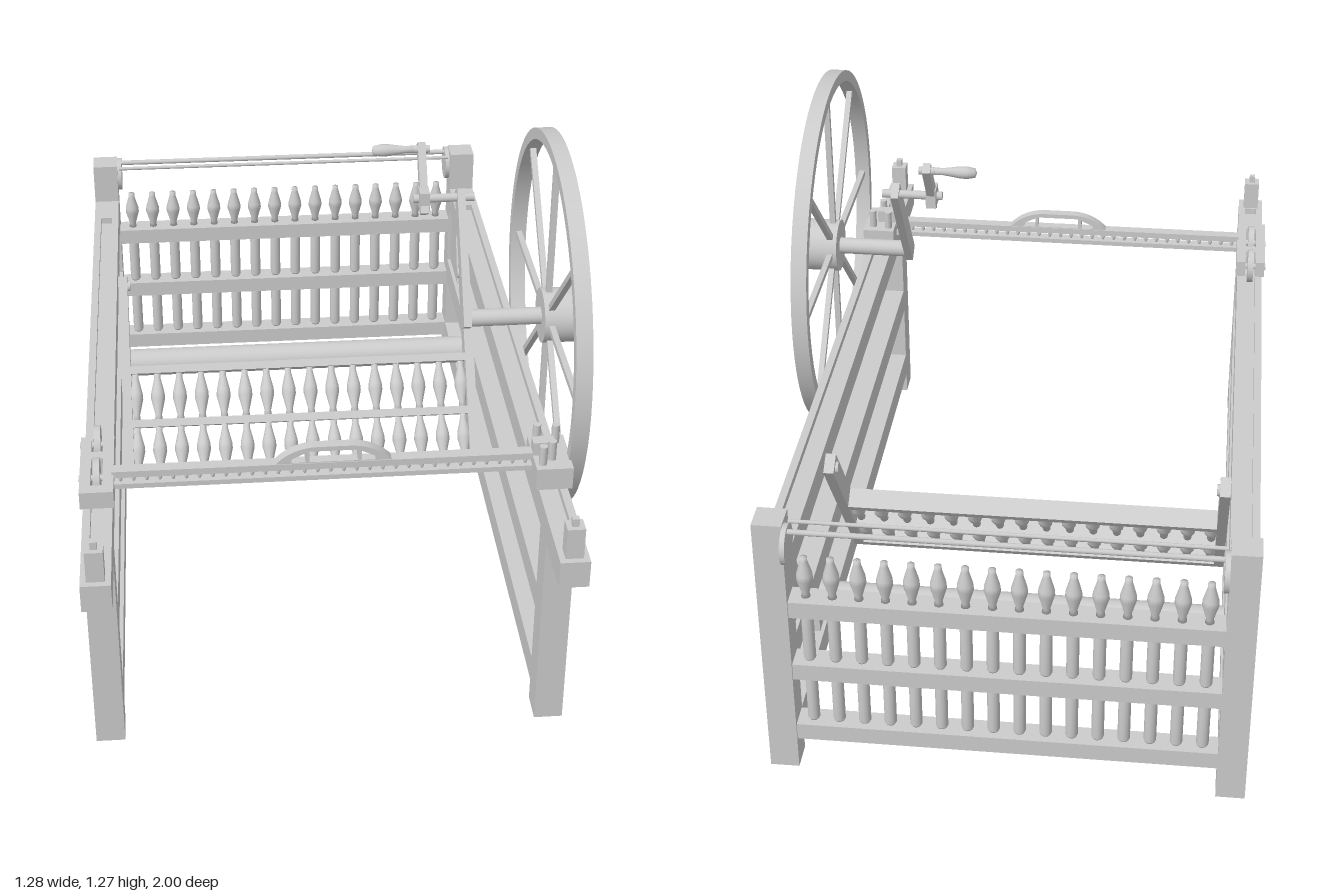
import * as THREE from 'three';

const mat = new THREE.MeshStandardMaterial({ color: 0xcccccc });
const thin = new THREE.MeshStandardMaterial({ color: 0xcccccc, side: THREE.DoubleSide });
const LEFT = 0.48, RIGHT = -0.6, MID = -0.06;

function add(parent, name, geo, x = 0, y = 0, z = 0, material = mat) {
  const m = new THREE.Mesh(geo, material);
  m.name = name;
  m.position.set(x, y, z);
  parent.add(m);
  return m;
}
// box given by its extents on each axis
function box(parent, name, x0, x1, y0, y1, z0, z1) {
  return add(parent, name, new THREE.BoxGeometry(x1 - x0, y1 - y0, z1 - z0),
    (x0 + x1) / 2, (y0 + y1) / 2, (z0 + z1) / 2);
}
// cylinder lying along x
function rod(parent, name, x0, x1, y, z, r, sides = 16) {
  const g = new THREE.CylinderGeometry(r, r, x1 - x0, sides).rotateZ(Math.PI / 2);
  return add(parent, name, g, (x0 + x1) / 2, y, z);
}
function lathe(points, sides = 12) {
  return new THREE.LatheGeometry(points.map(p => new THREE.Vector2(p[0], p[1])), sides);
}
// square bar between two points of a plane at constant x
function bar(parent, name, x, w, d, y0, z0, y1, z1) {
  const m = add(parent, name, new THREE.BoxGeometry(w, Math.hypot(y1 - y0, z1 - z0), d),
    x, (y0 + y1) / 2, (z0 + z1) / 2);
  m.rotation.x = Math.atan2(z1 - z0, y1 - y0);
  return m;
}
function rectPath(x0, x1, y0, y1, Type = THREE.Path) {
  return new Type([[x0, y0], [x1, y0], [x1, y1], [x0, y1]].map(p => new THREE.Vector2(...p)));
}
// row of turned bobbins standing on height y, each h tall
function bobbinRow(parent, name, y, z, h, profile) {
  const geo = lathe(profile.map(([r, t]) => [r, t * h]));
  const row = new THREE.Group();
  row.name = name;
  for (let i = 0; i < 16; i++) add(row, 'bobbin', geo, -0.527 + i * 0.0623, y, z, thin);
  parent.add(row);
}
const SPINDLE = [[0.001, 0], [0.011, 0], [0.009, 0.1], [0.02, 0.45], [0.019, 0.58], [0.009, 0.9], [0.009, 1], [0.001, 1]];
const BOBBIN = [[0.001, 0], [0.012, 0], [0.015, 0.04], [0.015, 0.92], [0.01, 1], [0.001, 1]];

function sideFrame(x) {
  const g = new THREE.Group();
  g.name = 'sideFrame';
  const a = x - 0.035, b = x + 0.035;
  box(g, 'frontLeg', a, b, 0, 0.535, 0.755, 0.83);
  box(g, 'rearPost', a, b, 0, 0.72, -0.96, -0.89);
  box(g, 'topRail', a, b, 0.535, 0.587, -0.89, 1);
  box(g, 'middleRail', a, b, 0.29, 0.36, -0.89, 0.755);
  box(g, 'bottomRail', a, b, 0.06, 0.13, -0.89, 0.755);
  // grooved running track along the rail top
  const track = rectPath(-0.035, 0.035, -1, 0.89, THREE.Shape);
  track.holes.push(rectPath(-0.016, 0.016, -0.94, 0.78));
  const tg = new THREE.ExtrudeGeometry(track, { depth: 0.018, bevelEnabled: false }).rotateX(-Math.PI / 2);
  add(g, 'track', tg, x, 0.587, 0);
  // stop peg at the front end
  box(g, 'stopPeg', x - 0.021, x + 0.021, 0.605, 0.685, 0.945, 0.985);
  box(g, 'stopPegTip', x - 0.008, x + 0.008, 0.685, 0.705, 0.957, 0.973);
  // wedge bracing the rear post
  const wedge = new THREE.Shape([[0.73, 0.36], [0.89, 0.36], [0.89, 0.535], [0.815, 0.535]].map(p => new THREE.Vector2(...p)));
  add(g, 'rearBrace', new THREE.ExtrudeGeometry(wedge, { depth: 0.05, bevelEnabled: false }).rotateY(Math.PI / 2), x - 0.025, 0, 0);
  // bearing board of the roller
  box(g, 'rollerBearing', x - 0.025, x + 0.025, 0.13, 0.29, -0.605, -0.535);
  rod(g, 'rollerCap', x - 0.03, x + 0.03, 0.222, -0.57, 0.04, 24);
  rod(g, 'rollerPin', x - 0.035, x + 0.035, 0.222, -0.57, 0.008);
  // cord disc on the inner face of the rear post
  const s = Math.sign(MID - x), inner = x + s * 0.035;
  rod(g, 'cordDisc', Math.min(inner, inner + s * 0.012), Math.max(inner, inner + s * 0.012), 0.667, -0.951, 0.048, 28);
  return g;
}

function rearPanel() {
  const g = new THREE.Group();
  g.name = 'rearPanel';
  for (const y of [0.085, 0.27, 0.455]) box(g, 'panelRail', -0.565, 0.445, y, y + 0.045, -0.955, -0.895);
  bobbinRow(g, 'topSpindles', 0.5, -0.925, 0.112, SPINDLE);
  bobbinRow(g, 'middleBobbins', 0.315, -0.925, 0.14, BOBBIN);
  bobbinRow(g, 'bottomBobbins', 0.13, -0.925, 0.14, BOBBIN);
  rod(g, 'cordRod', -0.56, 0.44, 0.702, -0.953, 0.007, 10);
  rod(g, 'cordRod', -0.56, 0.44, 0.702, -0.912, 0.005, 10);
  return g;
}

// sloping bobbin rack between the sides
function creel() {
  const g = new THREE.Group();
  g.name = 'creel';
  g.position.set(0, 0.095, -0.143);
  g.rotation.x = -0.623;
  for (const x of [-0.552, 0.432]) {
    box(g, 'creelArm', x - 0.013, x + 0.013, 0, 0.58, -0.026, 0.026);
    rod(g, 'creelPivot', x - 0.02, x + 0.02, 0.555, 0, 0.015);
  }
  for (const y of [0, 0.147, 0.3]) box(g, 'creelRail', -0.54, 0.42, y, y + 0.022, -0.026, 0.026);
  bobbinRow(g, 'lowerBobbins', 0.022, 0, 0.125, SPINDLE);
  bobbinRow(g, 'upperBobbins', 0.169, 0, 0.131, SPINDLE);
  return g;
}

function carriage() {
  const g = new THREE.Group();
  g.name = 'carriage';
  box(g, 'lowerClamp', -0.565, 0.445, 0.624, 0.637, 0.625, 0.655);
  box(g, 'upperClamp', -0.565, 0.445, 0.655, 0.672, 0.625, 0.655);
  const pin = lathe([[0.003, 0], [0.006, 0.009], [0.003, 0.018]], 8);
  for (let i = 0; i < 32; i++) add(g, 'clampPin', pin, -0.545 + i * 0.0312, 0.637, 0.64, thin);
  // arched hand grip with open windows
  const arch = new THREE.Shape();
  arch.moveTo(-0.18, 0.67);
  arch.quadraticCurveTo(-0.14, 0.715, -0.08, 0.716);
  arch.lineTo(0, 0.716);
  arch.quadraticCurveTo(0.06, 0.715, 0.1, 0.67);
  arch.closePath();
  for (const [x0, x1, h0, h1] of [[-0.14, -0.107, 0.684, 0.7], [-0.098, 0.018, 0.704, 0.704], [0.027, 0.06, 0.7, 0.684]])
    arch.holes.push(new THREE.Path([[x0, 0.674], [x1, 0.674], [x1, h1], [x0, h0]].map(p => new THREE.Vector2(...p))));
  add(g, 'gripArch', new THREE.ExtrudeGeometry(arch, { depth: 0.026, bevelEnabled: false, curveSegments: 10 }), 0, 0, 0.627);

  // right truck: two cheeks with wheels between them
  for (const x of [-0.627, -0.573]) box(g, 'truckCheek', x - 0.013, x + 0.013, 0.62, 0.665, 0.49, 0.725);
  for (const [z0, z1] of [[0.555, 0.585], [0.695, 0.725]]) box(g, 'truckBlock', -0.614, -0.586, 0.62, 0.665, z0, z1);
  for (const z of [0.5, 0.64]) {
    rod(g, 'truckWheel', -0.608, -0.592, 0.65, z, 0.047, 28);
    rod(g, 'truckAxle', -0.643, -0.56, 0.648, z, 0.008);
  }
  // left truck: solid block with bolts
  box(g, 'truckPlate', 0.437, 0.525, 0.607, 0.665, 0.57, 0.715);
  box(g, 'clampLug', 0.437, 0.49, 0.665, 0.7, 0.625, 0.655);
  for (const [x, z] of [[0.455, 0.595], [0.5, 0.6], [0.48, 0.67], [0.455, 0.69]])
    add(g, 'truckBolt', new THREE.CylinderGeometry(0.01, 0.01, 0.05, 10), x, 0.69, z);
  return g;
}

function driveWheel() {
  const g = new THREE.Group();
  g.name = 'driveWheel';
  const y = 0.8, z = 0.225;
  const rim = lathe([[0.446, -0.02], [0.475, -0.02], [0.475, -0.02], [0.475, 0.02], [0.475, 0.02], [0.446, 0.02], [0.446, 0.02], [0.446, -0.02]], 64);
  add(g, 'rim', rim.rotateZ(Math.PI / 2), 0.54, y, z, thin);
  for (let i = 0; i < 8; i++) {
    const a = i * Math.PI / 4;
    bar(g, 'spoke', 0.54, 0.015, 0.015, y + 0.05 * Math.cos(a), z + 0.05 * Math.sin(a),
      y + 0.455 * Math.cos(a), z + 0.455 * Math.sin(a));
  }
  rod(g, 'hub', 0.522, 0.637, y, z, 0.07, 32);
  rod(g, 'hubBand', 0.615, 0.624, y, z, 0.071, 32);
  rod(g, 'shaft', 0.33, 0.53, y, z, 0.022, 20);
  // crank in two stepped arms
  bar(g, 'crankArm', 0.333, 0.02, 0.046, 0.78, 0.239, 1.07, 0.038);
  rod(g, 'crankPin', 0.212, 0.368, 1.055, 0.05, 0.011);
  box(g, 'crankCollar', 0.226, 0.252, 1.03, 1.08, 0.025, 0.075);
  bar(g, 'crankHandArm', 0.239, 0.02, 0.03, 1.022, 0.073, 1.172, -0.03);
  rod(g, 'handlePin', 0.218, 0.26, 1.16, -0.02, 0.01);
  const grip = lathe([[0.001, 0], [0.012, 0.004], [0.016, 0.025], [0.015, 0.045], [0.009, 0.085], [0.01, 0.115], [0.001, 0.115]], 16);
  add(g, 'handleGrip', grip.rotateZ(-Math.PI / 2), 0.112, 1.16, -0.02, thin);
  return g;
}

export function createModel() {
  const model = new THREE.Group();
  model.name = 'spinningMachine';
  model.add(sideFrame(LEFT), sideFrame(RIGHT), rearPanel(), creel(), carriage(), driveWheel());
  rod(model, 'roller', -0.57, 0.45, 0.222, -0.575, 0.04, 28);
  return model;
}
